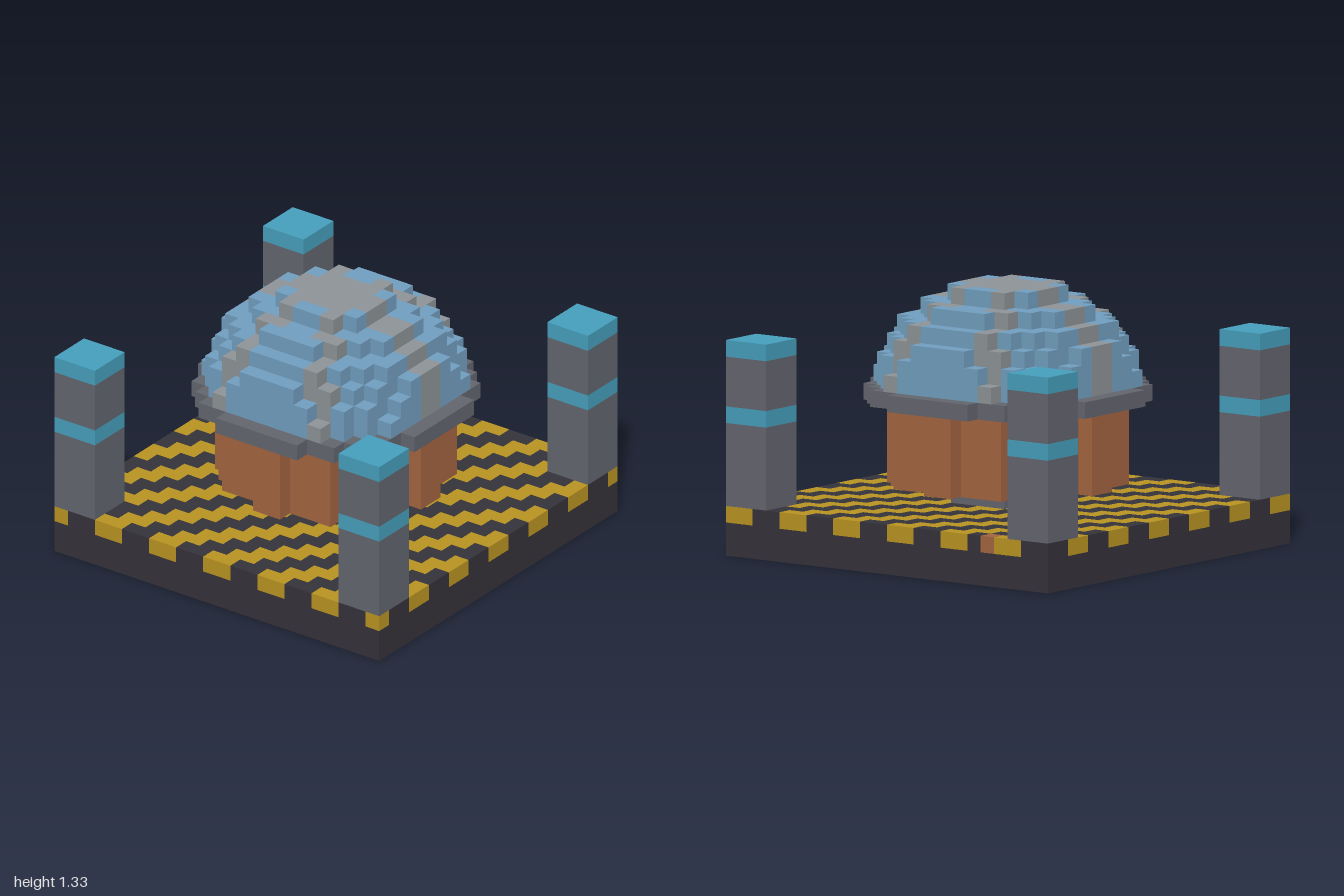
import * as THREE from 'three';
import { mergeGeometries } from 'three/addons/utils/BufferGeometryUtils.js';

const N = 24, H = 16, U = 2 / N; // grid width, grid height, cell size

const material = (name, color) => {
  const m = new THREE.MeshStandardMaterial({ color });
  m.name = name;
  return m;
};

export function createModel() {
  const charcoal = material('charcoal', 0x35333a);
  const yellow = material('hazardYellow', 0xba9422);
  const slate = material('slate', 0x64666f);
  const teal = material('teal', 0x46a0bd);
  const rust = material('rust', 0xa46540);
  const blue = material('domeBlue', 0x729fc0);
  const grey = material('ribGrey', 0x8e9498);

  // Squared distance of a cell from the vertical axis, in cells
  const r2 = (i, k) => (i - 11.5) ** 2 + (k - 11.5) ** 2;

  // Dome: squared radius of each layer from 10 up
  const domeR2 = [55, 51, 45, 37, 23.5, 10.5];

  // Six ribs, 60 degrees apart, run over the dome
  const onRib = (i, k) => [0, 60, 120].some((deg) => {
    const a = THREE.MathUtils.degToRad(deg);
    return Math.abs((i - 11.5) * Math.sin(a) - (k - 11.5) * Math.cos(a)) < 0.7;
  });

  const isCorner = (n) => n < 3 || n >= N - 3;

  // Each part gives the material of a cell, or nothing where it is empty
  const parts = {
    base: (i, j, k) => {
      if (j > 2) return null;
      if (j < 2) return charcoal;
      if (i === 4 && k === 0) return rust; // odd patch on the back edge
      return (i + k) % 4 >= 2 ? yellow : charcoal;
    },
    cornerPosts: (i, j, k) => {
      if (j < 3 || j > 12 || !isCorner(i) || !isCorner(k)) return null;
      return j === 8 || j === 12 ? teal : slate;
    },
    foot: (i, j, k) => (j === 3 && r2(i, k) < 9 ? slate : null),
    drum: (i, j, k) => (j >= 4 && j <= 8 && r2(i, k) < 43 ? rust : null),
    collar: (i, j, k) => (j === 9 && r2(i, k) < 64 ? slate : null),
    dome: (i, j, k) => {
      if (j < 10 || r2(i, k) > domeR2[j - 10]) return null;
      return onRib(i, k) ? grey : blue;
    },
  };

  const inGrid = (i, j, k) => i >= 0 && i < N && j >= 0 && j < H && k >= 0 && k < N;
  const solid = (i, j, k) => inGrid(i, j, k)
    && Object.values(parts).some((part) => part(i, j, k));

  // One outward-facing square for each of the six directions
  const square = () => new THREE.PlaneGeometry(U, U).translate(0, 0, U / 2);
  const sides = [
    { d: [0, 0, 1], geo: square() },
    { d: [0, 0, -1], geo: square().rotateY(Math.PI) },
    { d: [1, 0, 0], geo: square().rotateY(Math.PI / 2) },
    { d: [-1, 0, 0], geo: square().rotateY(-Math.PI / 2) },
    { d: [0, 1, 0], geo: square().rotateX(-Math.PI / 2) },
    { d: [0, -1, 0], geo: square().rotateX(Math.PI / 2) },
  ];

  const model = new THREE.Group();
  model.name = 'domedMachine';

  for (const [name, cellMaterial] of Object.entries(parts)) {
    // Collect the exposed squares of the part by material
    const faces = new Map();
    for (let i = 0; i < N; i++) for (let j = 0; j < H; j++) for (let k = 0; k < N; k++) {
      const mat = cellMaterial(i, j, k);
      if (!mat) continue;
      for (const { d, geo } of sides) {
        if (solid(i + d[0], j + d[1], k + d[2])) continue;
        if (!faces.has(mat)) faces.set(mat, []);
        faces.get(mat).push(geo.clone().translate(
          (i + 0.5) * U - 1, (j + 0.5) * U, (k + 0.5) * U - 1));
      }
    }
    const group = new THREE.Group();
    group.name = name;
    for (const [mat, list] of faces) {
      const mesh = new THREE.Mesh(mergeGeometries(list), mat);
      mesh.name = `${name} ${mat.name}`;
      group.add(mesh);
    }
    model.add(group);
  }
  return model;
}
